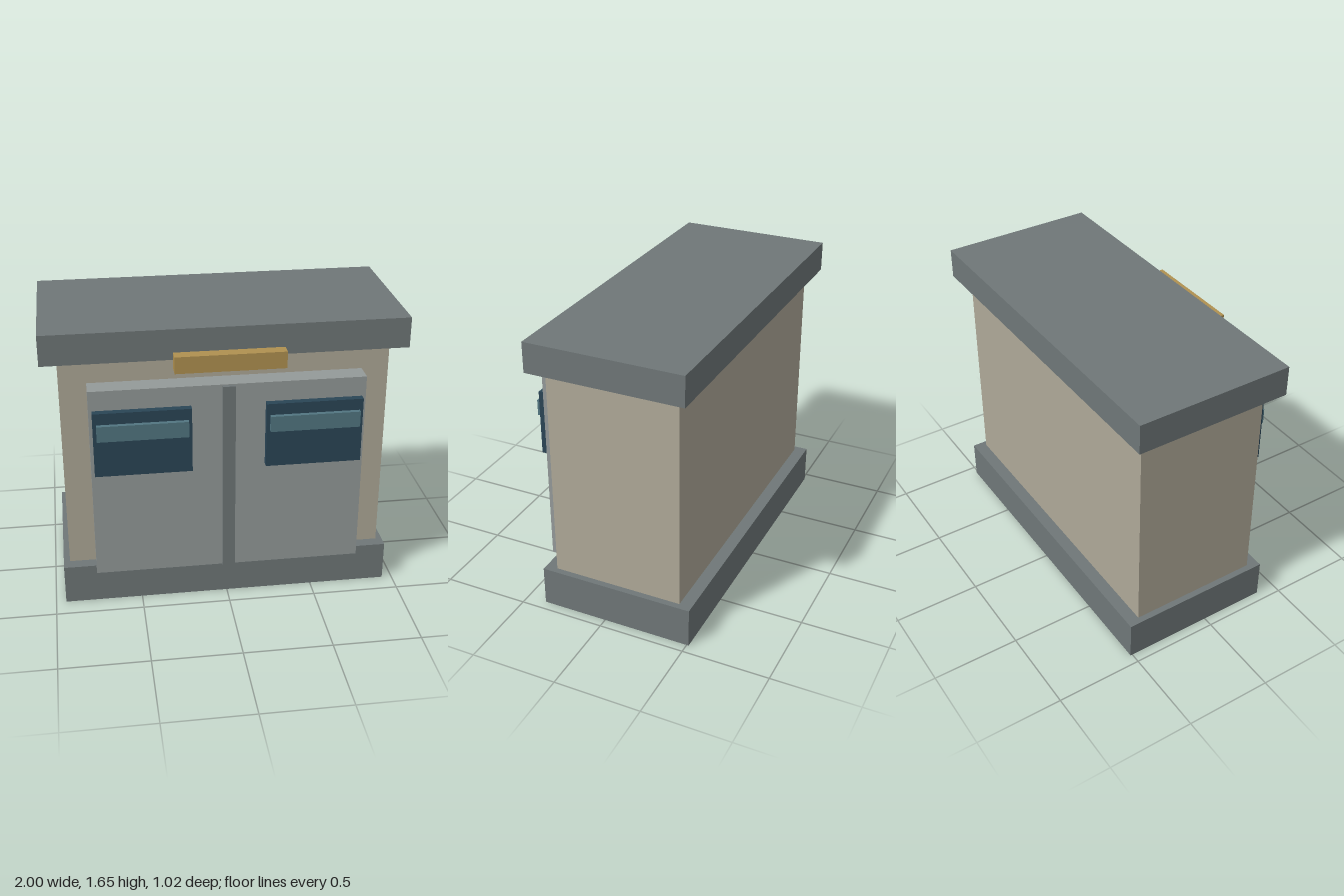
import * as THREE from 'three';

const paint = (name, color) => {
  const m = new THREE.MeshStandardMaterial({ color });
  m.name = name;
  return m;
};

export function createModel() {
  const group = new THREE.Group();
  group.name = 'kiosk';

  const slate = paint('slate grey', 0x6f7778);
  const stone = paint('warm stone', 0xafa998);
  const steel = paint('door grey', 0x949a99);
  const navy = paint('dark glass', 0x2a4556);
  const teal = paint('glass highlight', 0x527681);
  const gold = paint('sign gold', 0xb09150);

  // Box given by its extents along each axis
  const block = (name, material, [x0, x1], [y0, y1], [z0, z1]) => {
    const mesh = new THREE.Mesh(new THREE.BoxGeometry(x1 - x0, y1 - y0, z1 - z0), material);
    mesh.position.set((x0 + x1) / 2, (y0 + y1) / 2, (z0 + z1) / 2);
    mesh.name = name;
    group.add(mesh);
  };

  // Plinth, walls and overhanging roof slab
  block('base', slate, [-0.943, 0.943], [0, 0.232], [-0.512, 0.383]);
  block('walls', stone, [-0.907, 0.907], [0.232, 1.483], [-0.44, 0.315]);
  block('roof', slate, [-1, 1], [1.483, 1.655], [-0.512, 0.383]);

  // Double door with its centre strip
  block('doorPanel', steel, [-0.757, 0.757], [0.214, 1.346], [0.315, 0.433]);
  block('doorStrip', slate, [-0.035, 0.035], [0.217, 1.341], [0.433, 0.455]);

  // Door windows, each with a lighter bar
  for (const [side, x] of [['left', 0.469], ['right', -0.472]]) {
    block(side + 'Window', navy, [x - 0.267, x + 0.267], [0.857, 1.233], [0.433, 0.473]);
    block(side + 'WindowBar', teal, [x - 0.248, x + 0.248], [1.077, 1.168], [0.473, 0.498]);
  }

  // Sign plate above the door
  block('sign', gold, [-0.299, 0.299], [1.455, 1.549], [0.444, 0.512]);

  return group;
}
